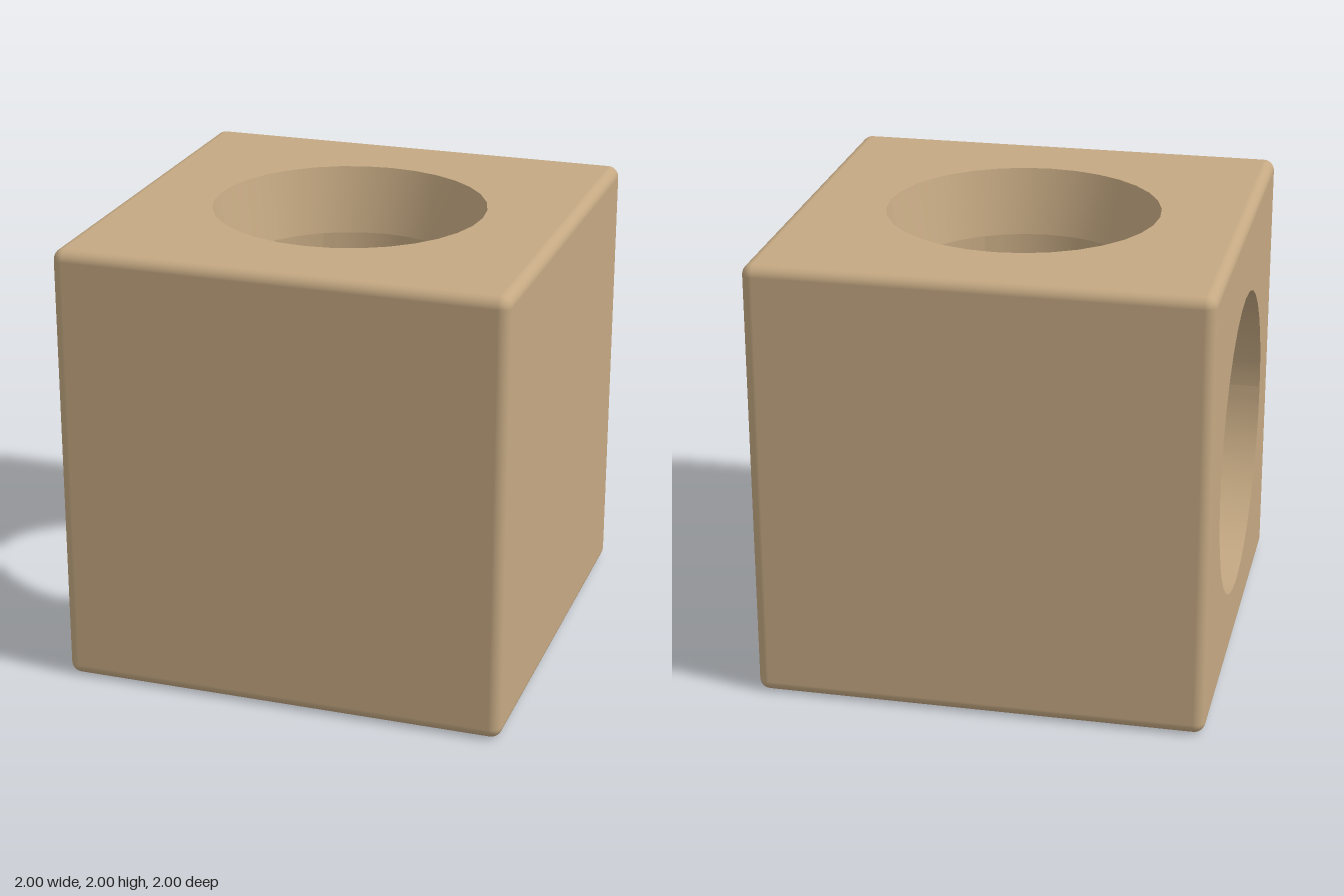
import * as THREE from 'three';
import { RoundedBoxGeometry } from 'three/addons/geometries/RoundedBoxGeometry.js';

const EDGE = 0.05;                                  // rounding of the block
const MOUTH = 0.61, WELL = 0.54, FLARE_Y = 1.7;     // round opening in the top
const FLOOR_Y = 1.1;                                // ledge at the bottom of the well
const BORE = 0.69, BORE_Y = 0.96, BORE_X = -0.66;   // wide recess in the side
const TUNNEL = 0.46, LOW_Y = 0.96, HIGH_Y = 1.15, END_X = 0.64; // rounded slot tunnel
const SIDES = 32;

const tan = new THREE.MeshStandardMaterial({ color: 0xc4a882, side: THREE.DoubleSide });
tan.name = 'tan';

// Smooth surface from a grid of points: point(i, j), i across, j along
function grid(cols, rows, point) {
  const pos = [], index = [];
  for (let i = 0; i <= cols; i++) for (let j = 0; j <= rows; j++) pos.push(...point(i, j));
  for (let i = 0; i < cols; i++) for (let j = 0; j < rows; j++) {
    const a = i * (rows + 1) + j, b = a + rows + 1;
    index.push(a, b, a + 1, b, b + 1, a + 1);
  }
  const g = new THREE.BufferGeometry();
  g.setAttribute('position', new THREE.Float32BufferAttribute(pos, 3));
  g.setIndex(index);
  g.computeVertexNormals();
  return g;
}

const circle = (r, y = 0) => new THREE.Path().absarc(0, y, r, 0, Math.PI * 2);

function square(y = 0) {
  const h = 1 - EDGE;
  return new THREE.Shape([[-h, y - h], [h, y - h], [h, y + h], [-h, y + h]]
    .map(p => new THREE.Vector2(...p)));
}

// Slot outline in (z, y): round below, upright sides, round above
function slot(Type) {
  return new Type().absarc(0, HIGH_Y, TUNNEL, 0, Math.PI).absarc(0, LOW_Y, TUNNEL, Math.PI, Math.PI * 2);
}

// Flat shape drawn in (z, y), facing -x
const sidePlate = (shape, x) => new THREE.ShapeGeometry(shape, SIDES / 2).rotateY(-Math.PI / 2).translate(x, 0, 0);
// Flat shape drawn in (x, -z), facing up
const topPlate = (shape, y) => new THREE.ShapeGeometry(shape, SIDES / 2).rotateX(-Math.PI / 2).translate(0, y, 0);

// Rounded cube without its flat top and -x panels
function blockGeometry() {
  const full = new RoundedBoxGeometry(2, 2, 2, 4, EDGE).translate(0, 1, 0);
  const src = full.index ? full.toNonIndexed() : full;
  const p = src.attributes.position, n = src.attributes.normal, pos = [], nor = [];
  for (let t = 0; t < p.count; t += 3) {
    const k = [t, t + 1, t + 2];
    if (k.every(i => p.getY(i) > 1.9999) || k.every(i => p.getX(i) < -0.9999)) continue;
    for (const i of k) {
      pos.push(p.getX(i), p.getY(i), p.getZ(i));
      nor.push(n.getX(i), n.getY(i), n.getZ(i));
    }
  }
  const g = new THREE.BufferGeometry();
  g.setAttribute('position', new THREE.Float32BufferAttribute(pos, 3));
  g.setAttribute('normal', new THREE.Float32BufferAttribute(nor, 3));
  return g;
}

export function createModel() {
  const group = new THREE.Group();
  const add = (name, geometry) => {
    const mesh = new THREE.Mesh(geometry, tan);
    mesh.name = name;
    group.add(mesh);
  };

  // Outer block and its two pierced panels
  add('block', blockGeometry());
  const top = square();
  top.holes.push(circle(MOUTH));
  add('topPanel', topPlate(top, 2));
  const side = square(1);
  side.holes.push(circle(BORE, BORE_Y));
  add('sidePanel', sidePlate(side, -1));

  // Side recess: wall and the ring-shaped step at its back
  add('recessWall', grid(SIDES * 2, 1, (i, j) => {
    const a = -i / (SIDES * 2) * Math.PI * 2;
    return [j ? BORE_X : -1, BORE_Y + BORE * Math.sin(a), BORE * Math.cos(a)];
  }));
  const ring = new THREE.Shape().absarc(0, BORE_Y, BORE, 0, Math.PI * 2);
  ring.holes.push(slot(THREE.Path));
  add('recessStep', sidePlate(ring, BORE_X));

  // Flared mouth of the well
  add('wellMouth', grid(SIDES, 1, (i, j) => {
    const a = i / SIDES * Math.PI * 2, r = j ? WELL : MOUTH;
    return [r * Math.cos(a), j ? FLARE_Y : 2, r * Math.sin(a)];
  }));

  // Well walls: arched over the tunnel at +x and -x, reaching the ledges at +z and -z
  const open = Math.asin(TUNNEL / WELL);
  for (const turn of [0, Math.PI]) {
    add('archedWall', grid(16, 1, (i, j) => {
      const a = turn - open + 2 * open * i / 16, z = WELL * Math.sin(a);
      const arch = HIGH_Y + Math.sqrt(Math.max(0, TUNNEL ** 2 - z * z));
      return [WELL * Math.cos(a), j ? arch : FLARE_Y, z];
    }));
    add('ledgeWall', grid(8, 1, (i, j) => {
      const a = turn + open + (Math.PI - 2 * open) * i / 8;
      return [WELL * Math.cos(a), j ? FLOOR_Y : FLARE_Y, WELL * Math.sin(a)];
    }));
    const ledge = new THREE.Shape().absarc(0, 0, WELL, turn + open, turn + Math.PI - open);
    add('ledge', topPlate(ledge, FLOOR_Y));
  }

  // Tunnel trough below the ledges
  const trough = [[TUNNEL, FLOOR_Y]];
  for (let i = 0; i <= 24; i++) {
    const a = -Math.PI * i / 24;
    trough.push([TUNNEL * Math.cos(a), LOW_Y + TUNNEL * Math.sin(a)]);
  }
  trough.push([-TUNNEL, FLOOR_Y]);
  add('tunnelTrough', grid(trough.length - 1, 1, (i, j) =>
    [j ? END_X : BORE_X, trough[i][1], trough[i][0]]));

  // Tunnel vaults on both sides of the well
  const vault = [[-TUNNEL, FLOOR_Y]];
  for (let i = 0; i <= 24; i++) {
    const a = Math.PI * (1 - i / 24);
    vault.push([TUNNEL * Math.cos(a), HIGH_Y + TUNNEL * Math.sin(a)]);
  }
  vault.push([TUNNEL, FLOOR_Y]);
  for (const s of [-1, 1]) {
    add('tunnelVault', grid(vault.length - 1, 1, (i, j) => {
      const [z, y] = vault[i], inner = s * Math.sqrt(WELL ** 2 - z * z);
      const ends = s < 0 ? [BORE_X, inner] : [inner, END_X];
      return [ends[j], y, z];
    }));
  }

  // Blind end of the tunnel
  add('tunnelEnd', sidePlate(slot(THREE.Shape), END_X));
  return group;
}
